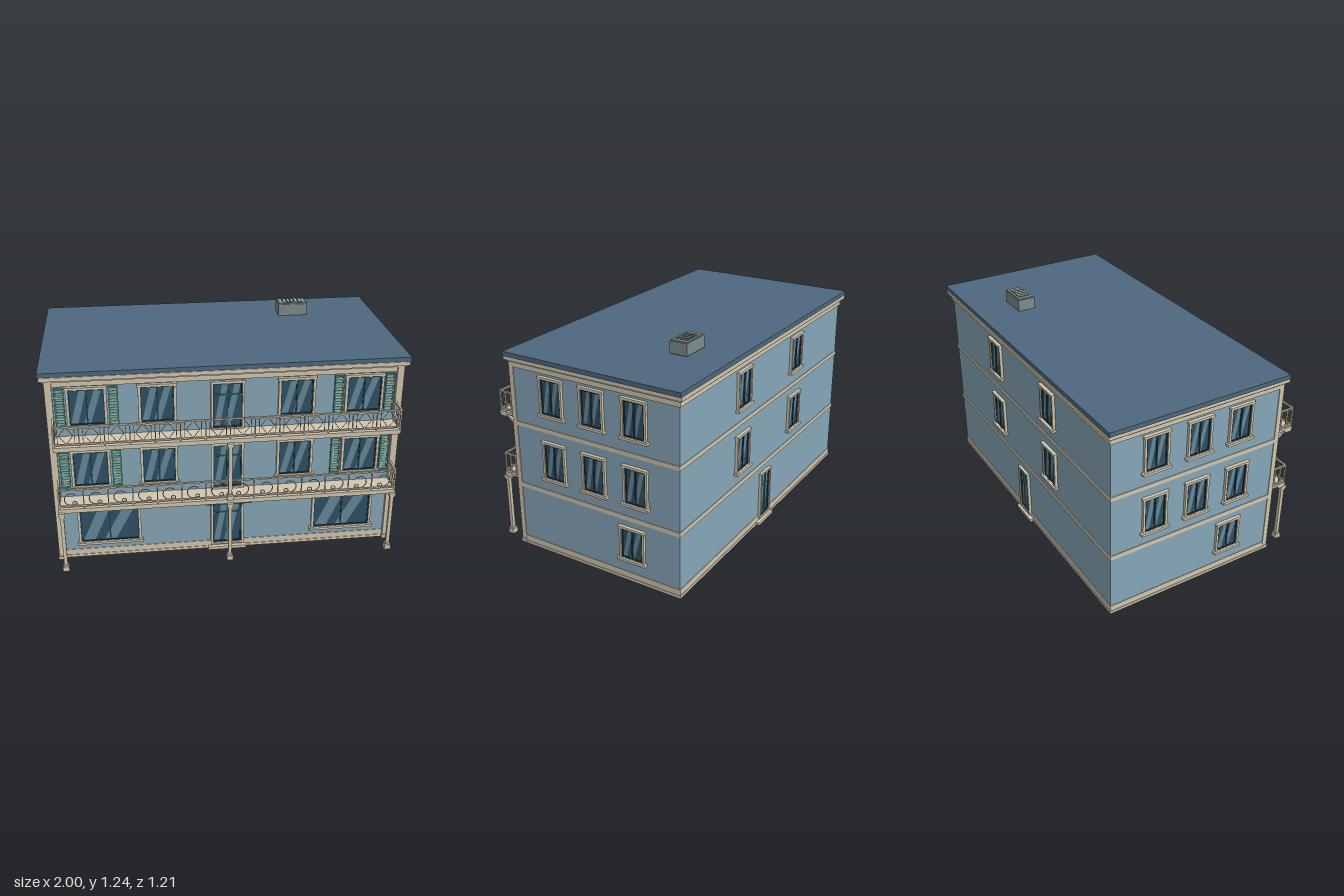
import * as THREE from 'three';

const paint = (color, extra = {}) => new THREE.MeshStandardMaterial({ color, ...extra });
const WALL = paint(0x86a6b8), TRIM = paint(0xd2c7b0), ROOF = paint(0x4e687e);
const GLASS = paint(0x2f5064), DARK = paint(0x243c4a), TEAL = paint(0x3a7c78);
const SHUTTER = paint(0x5b8f86), VENT = paint(0x7d8c8c);
const SHINE = paint(0x66889a, { side: THREE.DoubleSide });

// building limits
const X = 0.965, ZF = 0.455, ZB = -0.575, ZC = (ZF + ZB) / 2;

function add(parent, name, geometry, material, x = 0, y = 0, z = 0) {
  const m = new THREE.Mesh(geometry, material);
  m.name = name;
  m.position.set(x, y, z);
  parent.add(m);
  return m;
}

// box given by its limits on each axis
function box(parent, name, mat, x0, x1, y0, y1, z0, z1) {
  return add(parent, name, new THREE.BoxGeometry(x1 - x0, y1 - y0, z1 - z0), mat,
    (x0 + x1) / 2, (y0 + y1) / 2, (z0 + z1) / 2);
}

function group(parent, name, x = 0, y = 0, z = 0, turn = 0) {
  const g = new THREE.Group();
  g.name = name;
  g.position.set(x, y, z);
  g.rotation.y = turn;
  parent.add(g);
  return g;
}

function rectPath(Type, w, y0, y1) {
  const p = new Type();
  p.moveTo(-w, y0); p.lineTo(w, y0); p.lineTo(w, y1); p.lineTo(-w, y1); p.closePath();
  return p;
}

// open rectangular frame, lying from z to z + depth
function frame(parent, name, mat, w, y0, y1, t, depth, z = 0) {
  const s = rectPath(THREE.Shape, w / 2, y0, y1);
  s.holes.push(rectPath(THREE.Path, w / 2 - t, y0 + t, y1 - t));
  return add(parent, name, new THREE.ExtrudeGeometry(s, { depth, bevelEnabled: false }), mat, 0, 0, z);
}

// glass with two slanting highlights
function glazing(g, w, y0, y1) {
  box(g, 'glass', GLASS, -w / 2, w / 2, y0, y1, 0, 0.004);
  const h = y1 - y0;
  for (const [top, bottom, width] of [[-0.2, -0.46, 0.2], [0.22, -0.1, 0.2]]) {
    const pts = [[bottom, 0.04], [bottom + width, 0.04], [top + width, 0.96], [top, 0.96]];
    const s = new THREE.Shape(pts.map(([u, v]) => new THREE.Vector2(u * w, y0 + v * h)));
    add(g, 'glassHighlight', new THREE.ShapeGeometry(s), SHINE, 0, 0, 0.0055);
  }
}

function makeWindow(parent, x, z, turn, w, y0, y1) {
  const g = group(parent, 'window', x, 0, z, turn), t = 0.013;
  frame(g, 'windowFrame', TRIM, w, y0, y1, t, 0.016);
  box(g, 'windowHead', TRIM, -w / 2 - 0.004, w / 2 + 0.004, y1 - 0.011, y1 + 0.003, 0, 0.019);
  box(g, 'windowSill', TRIM, -w / 2 - 0.01, w / 2 + 0.01, y0 - 0.002, y0 + 0.012, 0, 0.026);
  frame(g, 'sash', DARK, w - 2 * t, y0 + t, y1 - t, 0.006, 0.01);
  box(g, 'mullion', DARK, -0.004, 0.004, y0 + t, y1 - t, 0, 0.01);
  glazing(g, w - 2 * t, y0 + t, y1 - t);
}

function makeDoor(parent, x, z, turn, w, y0, y1) {
  const g = group(parent, 'door', x, 0, z, turn), t = 0.012;
  const transom = y1 - (y1 - y0) * 0.28;
  frame(g, 'doorFrame', TRIM, w, y0, y1, t, 0.016);
  frame(g, 'doorLeafFrame', DARK, w - 2 * t, y0 + t, y1 - t, 0.008, 0.01);
  box(g, 'doorMeetingStile', TEAL, -0.004, 0.004, y0 + t, y1 - t, 0, 0.011);
  box(g, 'transomBar', TEAL, -w / 2 + t, w / 2 - t, transom - 0.004, transom + 0.004, 0, 0.012);
  glazing(g, w - 2 * t, y0 + t, y1 - t);
}

function makeShutter(parent, x, y0, y1) {
  const g = group(parent, 'shutter', x, 0, ZF), w = 0.052, mid = (y0 + y1) / 2;
  frame(g, 'shutterFrame', SHUTTER, w, y0, y1, 0.008, 0.014);
  box(g, 'shutterBack', SHUTTER, -w / 2, w / 2, y0, y1, 0, 0.004);
  for (let y = y0 + 0.018; y < y1 - 0.012; y += 0.016) {
    const slat = box(g, 'shutterSlat', SHUTTER, -0.019, 0.019, y - 0.006, y + 0.006, 0.006, 0.009);
    slat.rotation.x = -0.5;
  }
  for (const y of [mid - 0.06, mid + 0.06])
    box(g, 'shutterRail', TRIM, -0.019, 0.019, y - 0.004, y + 0.004, 0.004, 0.014);
}

function makePost(parent, x, y0, y1) {
  const g = group(parent, 'post', x, 0, 0.585);
  box(g, 'postShaft', TRIM, -0.01, 0.01, y0, y1, -0.01, 0.01);
  box(g, 'postBase', TRIM, -0.018, 0.018, y0 + 0.004, y0 + 0.032, -0.018, 0.018);
  box(g, 'postBaseCap', TRIM, -0.014, 0.014, y0 + 0.032, y0 + 0.042, -0.014, 0.014);
  box(g, 'postCapital', TRIM, -0.014, 0.014, y1 - 0.028, y1 - 0.016, -0.014, 0.014);
  box(g, 'postAbacus', TRIM, -0.018, 0.018, y1 - 0.016, y1, -0.018, 0.018);
}

// balcony with floor at y; pattern is 'diamond' or 'scroll'
function makeBalcony(parent, y, pattern) {
  const g = group(parent, 'balcony', 0, y, 0);
  const W = 0.935, zr = 0.583, top = 0.122, low = 0.02, cells = 14, step = 2 * W / cells;
  box(g, 'balconyFloor', TRIM, -0.94, 0.94, -0.008, 0.006, ZF, 0.592);
  box(g, 'balconyEdge', TRIM, -0.94, 0.94, -0.022, -0.008, 0.545, 0.588);
  for (const h of [low, top])
    box(g, 'frontRail', TRIM, -W, W, h - 0.004, h + 0.004, zr - 0.005, zr + 0.005);
  for (let i = 0; i <= cells; i++) {
    const x = -W + i * step;
    box(g, 'baluster', TRIM, x - 0.003, x + 0.003, 0, top, zr - 0.003, zr + 0.003);
    if (i === cells) break;
    const cx = x + step / 2, cy = (top + low) / 2;
    if (pattern === 'diamond') {
      const d = add(g, 'diamond', new THREE.TorusGeometry(0.05, 0.003, 4, 4), TRIM, cx, cy, zr);
      d.scale.x = 0.75;
      for (const s of [-1, 1])
        box(g, 'thinBar', TRIM, cx + s * 0.045 - 0.0015, cx + s * 0.045 + 0.0015, low, top, zr - 0.002, zr + 0.002);
    } else {
      const c = add(g, 'scroll', new THREE.TorusGeometry(0.036, 0.003, 5, 18, Math.PI * 1.5), TRIM, cx, cy - 0.01, zr);
      c.rotation.z = Math.PI / 4;
      if (cx > 0) c.rotation.y = Math.PI;
      const curl = add(g, 'scrollCurl', new THREE.TorusGeometry(0.012, 0.0025, 5, 10), TRIM, cx, cy - 0.034, zr);
      curl.position.x += cx > 0 ? -0.02 : 0.02;
    }
  }
  for (const s of [-1, 1]) {
    const x = s * W;
    for (const h of [low, top])
      box(g, 'sideRail', TRIM, x - 0.005, x + 0.005, h - 0.004, h + 0.004, 0.47, zr);
    for (const z of [0.475, 0.51, 0.548, zr])
      box(g, 'sideBaluster', TRIM, x - 0.004, x + 0.004, 0, top, z - 0.004, z + 0.004);
  }
}

export function createModel() {
  const house = new THREE.Group();
  house.name = 'house';

  // walls, plinth and belts
  box(house, 'walls', WALL, -X, X, 0.04, 1.1, ZB, ZF);
  const band = (name, mat, o, y0, y1) => box(house, name, mat, -X - o, X + o, y0, y1, ZB - o, ZF + o);
  band('plinthFoot', TRIM, 0.006, 0, 0.016);
  band('plinth', TRIM, 0.003, 0.016, 0.05);
  band('lowerBelt', TRIM, 0.004, 0.362, 0.388);
  band('upperBelt', TRIM, 0.004, 0.733, 0.757);

  // cornice and flat roof
  band('frieze', TRIM, 0.008, 1.068, 1.105);
  band('corniceStep', TRIM, 0.018, 1.098, 1.11);
  band('cornice', TRIM, 0.029, 1.108, 1.13);
  box(house, 'roof', ROOF, -1, 1, 1.13, 1.155, -0.602, 0.48);

  // front corner pilasters
  for (const s of [-1, 1]) {
    box(house, 'pilaster', TRIM, s * 0.95 - 0.019, s * 0.95 + 0.019, 0, 1.1, ZF - 0.01, 0.474);
    box(house, 'pilasterFoot', TRIM, s * 0.95 - 0.022, s * 0.95 + 0.022, 0, 0.022, ZF - 0.01, 0.479);
  }

  // front openings
  for (const [y0, y1, sill] of [[0.457, 0.688, 0.4], [0.83, 1.06, 0.772]]) {
    for (const s of [-1, 1]) {
      makeWindow(house, s * 0.755, ZF, 0, 0.215, y0, y1);
      makeWindow(house, s * 0.38, ZF, 0, 0.205, y0, y1);
      for (const x of [0.613, 0.897]) makeShutter(house, s * x, y0, y1);
    }
    makeDoor(house, 0, ZF, 0, 0.185, sill, y1);
  }
  for (const s of [-1, 1]) makeWindow(house, s * 0.672, ZF, 0, 0.355, 0.09, 0.325);
  makeDoor(house, 0, ZF, 0, 0.19, 0.03, 0.325);
  box(house, 'doorCanopy', ROOF, -0.13, 0.13, 0.338, 0.355, ZF, 0.54);
  box(house, 'frontStep', TRIM, -0.11, 0.11, 0, 0.018, ZF, 0.481);

  // side openings, the ground floor window mirrored front to back
  for (const s of [-1, 1]) {
    const turn = s * Math.PI / 2;
    for (const off of [-0.258, 0, 0.258]) {
      makeWindow(house, s * X, ZC + off, turn, 0.148, 0.457, 0.682);
      makeWindow(house, s * X, ZC + off, turn, 0.148, 0.83, 1.05);
    }
    makeWindow(house, s * X, ZC - s * 0.229, turn, 0.155, 0.125, 0.323);
  }

  // back openings
  for (const x of [-0.325, 0.325]) {
    makeWindow(house, x, ZB, Math.PI, 0.15, 0.457, 0.682);
    makeWindow(house, x, ZB, Math.PI, 0.15, 0.83, 1.05);
  }
  makeDoor(house, 0.03, ZB, Math.PI, 0.125, 0.03, 0.325);
  box(house, 'backStep', TRIM, -0.06, 0.12, 0, 0.018, -0.6, ZB);

  // balconies, posts and brackets
  makeBalcony(house, 0.395, 'scroll');
  makeBalcony(house, 0.77, 'diamond');
  for (const x of [-0.925, 0, 0.925]) makePost(house, x, 0, 0.378);
  makePost(house, 0, 0.395, 0.752);
  for (const s of [-1, 1]) {
    const brace = add(house, 'balconyBracket', new THREE.BoxGeometry(0.014, 0.012, 0.105), TRIM, s * 0.925, 0.722, 0.508);
    brace.rotation.x = -0.7;
  }

  // rooftop vent
  const vent = group(house, 'roofVent', 0.495, 1.155, -0.33);
  box(vent, 'ventBody', VENT, -0.088, 0.088, 0.004, 0.072, -0.052, 0.052);
  box(vent, 'ventFoot', VENT, -0.08, 0.08, 0, 0.008, -0.046, 0.046);
  box(vent, 'ventLid', VENT, -0.082, 0.082, 0.072, 0.078, -0.046, 0.046);
  box(vent, 'ventOpening', DARK, -0.058, 0.058, 0.07, 0.0795, -0.034, 0.034);
  for (let i = -2; i <= 2; i++)
    box(vent, 'ventSlat', TRIM, i * 0.023 - 0.005, i * 0.023 + 0.005, 0.07, 0.082, -0.032, 0.032);

  return house;
}
